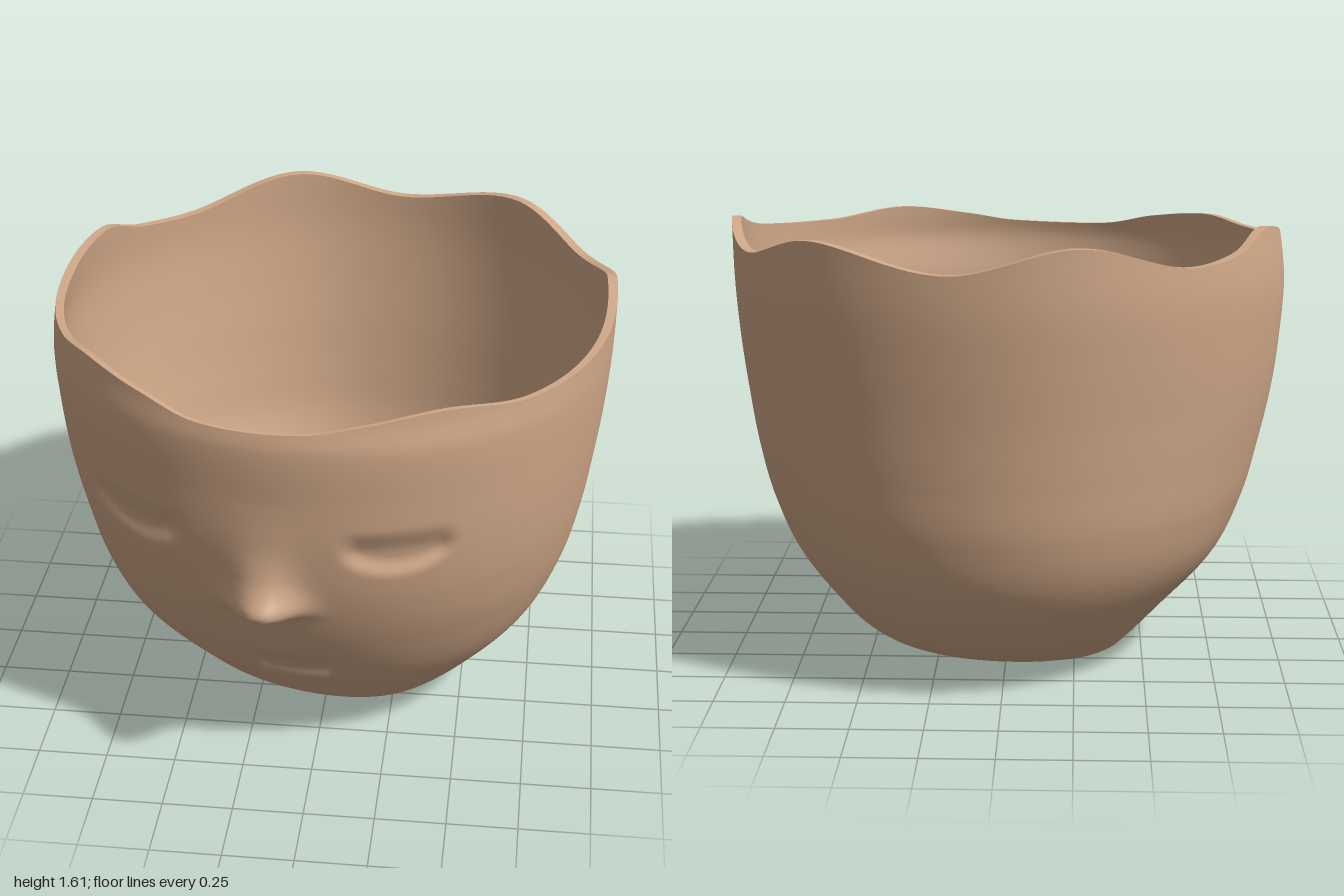
import * as THREE from 'three';

// smooth interpolation through [key, value] pairs
function curve(points) {
  const slope = (i) => {
    const a = points[Math.max(i - 1, 0)], b = points[Math.min(i + 1, points.length - 1)];
    return (b[1] - a[1]) / (b[0] - a[0]);
  };
  return (k) => {
    if (k <= points[0][0]) return points[0][1];
    for (let i = 1; i < points.length; i++) {
      const [k0, v0] = points[i - 1], [k1, v1] = points[i];
      if (k > k1) continue;
      const h = k1 - k0, t = (k - k0) / h, s = 1 - t;
      return v0 * (1 + 2 * t) * s * s + h * slope(i - 1) * t * s * s
        + v1 * t * t * (3 - 2 * t) - h * slope(i) * t * t * s;
    }
    return points[points.length - 1][1];
  };
}

// wall distance from the axis by height, on each of the four sides
const leftSide = curve([[0, 0.39], [0.03, 0.43], [0.2, 0.605], [0.4, 0.775], [0.6, 0.867], [0.8, 0.918], [1, 0.95], [1.2, 0.975], [1.4, 0.99], [1.61, 0.995]]);
const rightSide = curve([[0, 0.39], [0.03, 0.44], [0.2, 0.6], [0.4, 0.775], [0.6, 0.868], [0.8, 0.922], [1, 0.965], [1.2, 0.99], [1.4, 1], [1.61, 0.975]]);
const frontSide = curve([[0, 0.18], [0.03, 0.3], [0.1, 0.42], [0.2, 0.53], [0.4, 0.69], [0.6, 0.802], [0.8, 0.875], [1, 0.913], [1.2, 0.93], [1.4, 0.94], [1.5, 0.92], [1.61, 0.91]]);
const backSide = curve([[0, 0.24], [0.03, 0.38], [0.1, 0.55], [0.2, 0.68], [0.4, 0.82], [0.6, 0.888], [0.8, 0.917], [1, 0.94], [1.2, 0.965], [1.4, 0.985], [1.61, 0.99]]);

// wavy rim height by angle in degrees, from +x towards the front
const rimCurve = curve([[-6, 1.61], [15, 1.535], [42, 1.505], [61, 1.535], [78, 1.5], [90, 1.47], [113, 1.468], [126, 1.51], [143, 1.54],
  [157, 1.52], [174, 1.53], [200, 1.605], [213, 1.54], [230, 1.52], [255, 1.61], [280, 1.525], [309, 1.61], [332, 1.53], [354, 1.61]]);
const rim = (a) => {
  const d = ((THREE.MathUtils.radToDeg(a) % 360) + 360) % 360;
  return rimCurve(d > 354 ? d - 360 : d);
};

const step = THREE.MathUtils.smoothstep;

function radius(angle, y) {
  const a = angle - 0.33 * (1 - step(y, 0, 0.6)); // the narrow foot is turned slightly
  const c = Math.cos(a), s = Math.sin(a);
  const side = c > 0 ? leftSide(y) : rightSide(y);
  const end = s > 0 ? frontSide(y) : backSide(y);
  const corner = s < 0 ? (c > 0 ? 0.01 : -0.025) : (c > 0 ? 0.008 : 0);
  return side * c * c + end * s * s + corner * Math.min(1, y) * Math.sin(2 * a) ** 2;
}

// face relief
const faceX = -0.15;
const noseDepth = curve([[0.67, 0], [0.715, 0.014], [0.74, 0.065], [0.77, 0.12], [0.8, 0.128], [0.85, 0.086], [0.9, 0.052], [1, 0.018], [1.1, 0.005], [1.2, 0]]);
const noseWidth = curve([[0.7, 0.14], [0.78, 0.12], [0.9, 0.105], [1.1, 0.12]]);

// half-moon hollow: soft flat top edge, curved lower edge
function hollow(x, y, cx, half, top, bottom, bow, depth) {
  const d = (x - cx) / half;
  const low = bottom + bow * d * d;
  return -depth * (1 - step(Math.abs(d), 0.7, 1.15))
    * step(y, low - 0.03, low + 0.04) * (1 - step(y, top - 0.065, top + 0.045));
}

function relief(x, y) {
  const d = Math.abs(x - faceX);
  const nose = noseDepth(y) * Math.exp(-Math.pow(d / noseWidth(y), 2.3));
  const eye = hollow(d, y, 0.455, 0.18, 1.07, 0.94, 0.06, 0.027);
  const mouth = hollow(x, y, -0.06, 0.15, 0.47, 0.345, 0.015, 0.024);
  return nose + eye + mouth;
}

// closed ring surface; place(angle, v) gives a point, v runs 0..1
const SEG = 240;
function ringSurface(rows, place) {
  const pos = [], index = [];
  for (let j = 0; j <= rows; j++) {
    for (let i = 0; i < SEG; i++) {
      const t = (i / SEG) * Math.PI * 2;
      pos.push(...place(t + 0.6 * Math.cos(t), j / rows)); // denser at the face
      if (j === rows) continue;
      const a = j * SEG + i, b = j * SEG + (i + 1) % SEG;
      index.push(a, a + SEG, b, b, a + SEG, b + SEG);
    }
  }
  const g = new THREE.BufferGeometry();
  g.setAttribute('position', new THREE.Float32BufferAttribute(pos, 3));
  g.setIndex(index);
  g.computeVertexNormals();
  return g;
}

const polar = (a, r, y) => [r * Math.cos(a), y, r * Math.sin(a)];

// the wall is thinner at the front of the rim
const wall = (a, k) => 0.034 - 0.02 * Math.max(0, Math.sin(a)) * step(k, 0.75, 1);

// base and outer wall in one smooth shell
const BASE = 1 / 40;
function shell(a, v) {
  if (v < BASE) return polar(a, radius(a, 0) * v / BASE, 0);
  const y = rim(a) * Math.pow((v - BASE) / (1 - BASE), 1.2);
  const p = polar(a, radius(a, y), y);
  if (p[2] > 0) p[2] += relief(p[0], y);
  return p;
}

// lining from the rim down to its open lower edge
function lining(a, v) {
  const low = 0.4 + 0.065 * Math.sin(a);
  const y = THREE.MathUtils.lerp(rim(a), low, v);
  return polar(a, radius(a, y) - wall(a, 1 - v), y);
}

export function createModel() {
  const group = new THREE.Group();
  const clay = new THREE.MeshStandardMaterial({ color: 0xd0a888, side: THREE.DoubleSide });
  clay.name = 'clay';
  const add = (name, geometry) => {
    const mesh = new THREE.Mesh(geometry, clay);
    mesh.name = name;
    group.add(mesh);
  };
  add('outerShellWithFace', ringSurface(120, shell));
  add('rim', ringSurface(1, (a, v) => polar(a, radius(a, rim(a)) - wall(a, 1) * v, rim(a))));
  add('innerLining', ringSurface(50, lining));
  return group;
}
